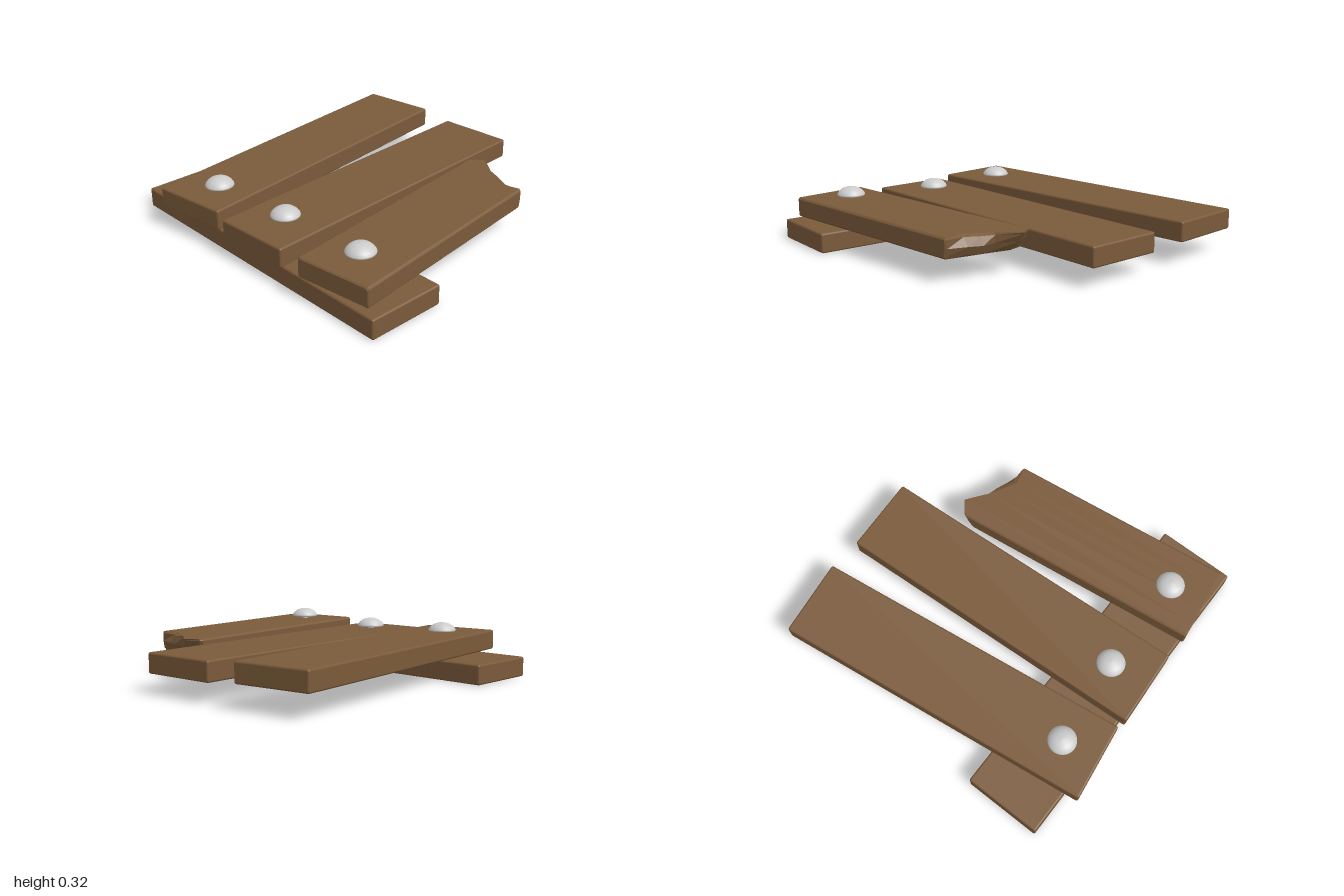
import * as THREE from 'three';
import { RoundedBoxGeometry } from 'three/addons/geometries/RoundedBoxGeometry.js';

const THICK = 0.12;

export function createModel() {
  const model = new THREE.Group();
  const wood = new THREE.MeshStandardMaterial({ color: 0x7a5a3a });
  const splitWood = new THREE.MeshStandardMaterial({ color: 0x7a5a3a, flatShading: true });
  const metal = new THREE.MeshStandardMaterial({ color: 0xcccccc });

  const add = (name, geometry, material, x, y, z, turn = 0) => {
    const mesh = new THREE.Mesh(geometry, material);
    mesh.name = name;
    mesh.position.set(x, y, z);
    mesh.rotation.y = turn;
    model.add(mesh);
  };
  const plank = (width, length) => new RoundedBoxGeometry(width, THICK, length, 2, 0.012);

  // Cross rail on the ground and the two whole planks lying over it
  add('crossRail', plank(1.965, 0.475), wood, -0.005, 0.06, 0.706, -0.057);
  add('rightPlank', plank(0.472, 1.963), wood, -0.565, 0.193, -0.006, 0.0755);
  add('middlePlank', plank(0.475, 1.957), wood, 0.04, 0.17, -0.006);

  // Snapped plank, its origin at the middle of the sound end
  add('brokenPlank', brokenPlank(), splitWood, 0.66, 0.193, 0.975, 0.065);

  // Domed nails: x, z and height of the underside of the head
  const headProfile = [[0, 0], [0.078, 0], [0.085, 0.004], [0.084, 0.012], [0.074, 0.027],
    [0.056, 0.042], [0.03, 0.052], [0, 0.055]].map(([r, y]) => new THREE.Vector2(r, y));
  const head = new THREE.LatheGeometry(headProfile, 28);
  const shaft = new THREE.CylinderGeometry(0.021, 0.008, 0.2, 12);
  for (const [side, x, z, y] of [['right', -0.506, 0.735, 0.251], ['middle', 0.038, 0.715, 0.243], ['left', 0.643, 0.748, 0.266]]) {
    add(side + 'NailHead', head, metal, x, y, z);
    add(side + 'NailShaft', shaft, metal, x, y - 0.098, z);
  }
  return model;
}

// Bevelled box whose far end follows a jagged break, given row by row from the bottom up
function brokenPlank() {
  const cols = [-0.236, -0.224, -0.147, -0.034, 0.045, 0.119, 0.224, 0.236];
  const rows = [-0.06, -0.048, 0, 0.048, 0.06];
  const breakEnd = [
    [-1.46, -1.465, -1.475, -1.44, -1.42, -1.40, -1.37, -1.365],
    [-1.475, -1.485, -1.50, -1.45, -1.45, -1.41, -1.375, -1.37],
    [-1.505, -1.515, -1.545, -1.475, -1.475, -1.435, -1.39, -1.38],
    [-1.525, -1.54, -1.58, -1.482, -1.45, -1.40, -1.39, -1.38],
    [-1.525, -1.54, -1.588, -1.48, -1.42, -1.37, -1.385, -1.375],
  ];
  const box = new THREE.BoxGeometry(1, 1, 1, 7, 4, 2);
  const p = box.attributes.position;
  for (let n = 0; n < p.count; n++) {
    const i = Math.round((p.getX(n) + 0.5) * 7);
    const j = Math.round((p.getY(n) + 0.5) * 4);
    const k = Math.round((p.getZ(n) + 0.5) * 2);
    let x = cols[i], y = rows[j];
    // Soften the long edges and the rim of the sound end
    if ((i === 0 || i === 7) && (j === 0 || j === 4)) {
      x -= Math.sign(x) * 0.005;
      y -= Math.sign(y) * 0.005;
    }
    if (k === 2) {
      x *= 0.97;
      y *= 0.88;
    }
    p.setXYZ(n, x, y, [breakEnd[j][i], -0.008, 0][k]);
  }
  const geometry = box.toNonIndexed();
  geometry.computeVertexNormals();
  return geometry;
}
